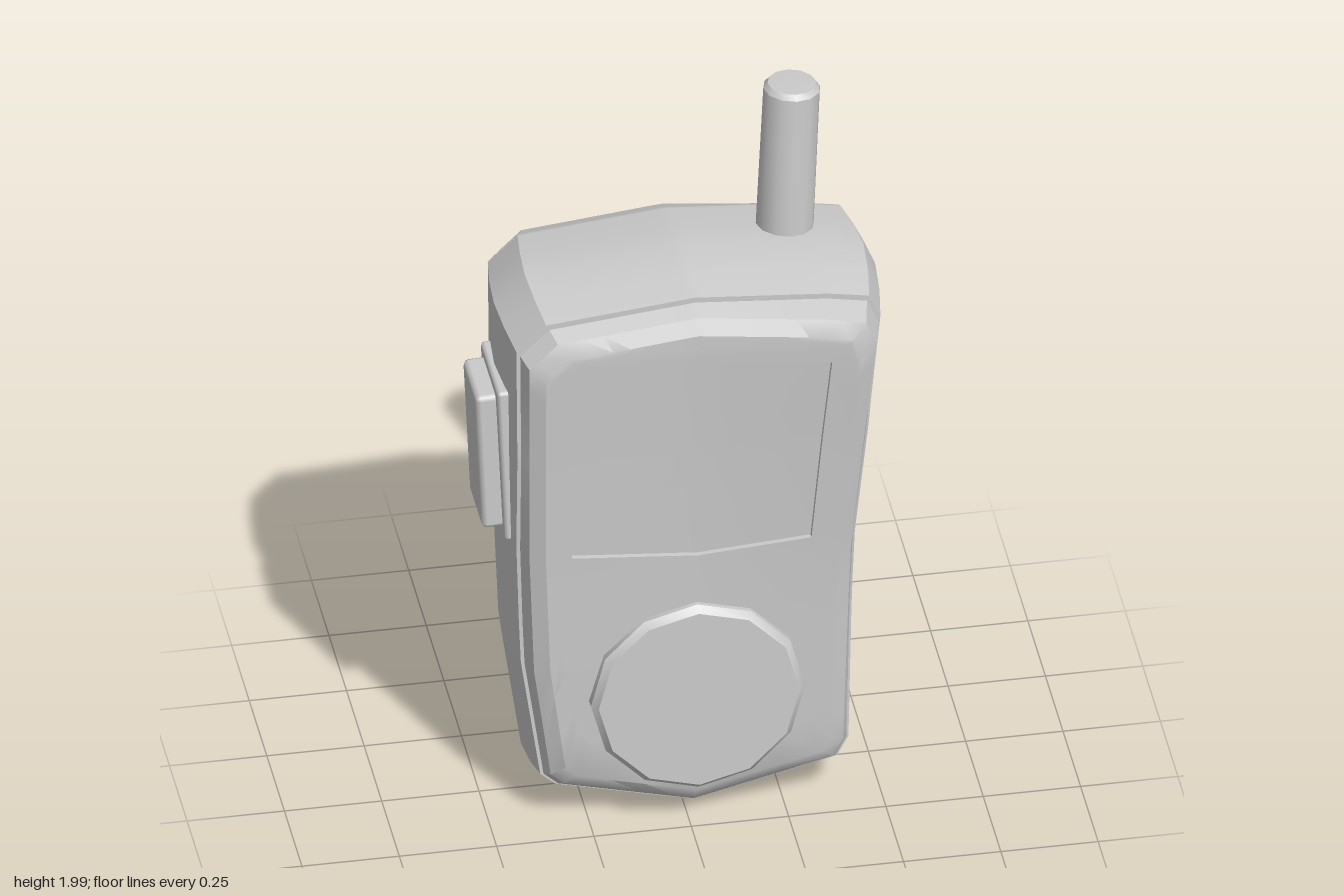
import * as THREE from 'three';
import { toCreasedNormals } from 'three/addons/utils/BufferGeometryUtils.js';
import { RoundedBoxGeometry } from 'three/addons/geometries/RoundedBoxGeometry.js';

const material = new THREE.MeshStandardMaterial({ color: 0xcccccc });
const CX = 0.02, CY = 0.8;          // centre of the casing
const SX = 0.02, SY = 1.13;         // centre of the screen

// Outlines, counter-clockwise as seen from the front
const casing = [[0.52, 1.495], [0.49, 1.56], [0.38, 1.58], [0.02, 1.61], [-0.38, 1.57], [-0.46, 1.495],
  [-0.455, 0.865], [-0.44, 0.485], [-0.39, 0.135], [-0.35, 0.1], [0.02, 0.01], [0.41, 0.1], [0.44, 0.155],
  [0.457, 0.8], [0.495, 1.235]];
const screen = [[0.355, 1.415], [0.02, 1.44], [-0.31, 1.41], [-0.285, 1.155], [-0.305, 0.86],
  [0.02, 0.83], [0.31, 0.855], [0.335, 1.18]];

// Piecewise-linear profile through [y, value] pairs
const profile = (points) => (y) => {
  if (y <= points[0][0]) return points[0][1];
  for (let i = 1; i < points.length; i++) {
    const [y0, v0] = points[i - 1], [y1, v1] = points[i];
    if (y <= y1) return v0 + (v1 - v0) * (y - y0) / (y1 - y0);
  }
  return points[points.length - 1][1];
};
const frontProfile = profile([[0.1, 0.212], [0.5, 0.228], [0.82, 0.236], [1.15, 0.25], [1.47, 0.267]]);
const backProfile = profile([[0.1, -0.245], [0.4, -0.252], [0.82, -0.243], [1.0, -0.262], [1.17, -0.288], [1.47, -0.295]]);
const frontSeam = profile([[0.05, 0.16], [0.6, 0.142], [0.85, 0.16], [1.15, 0.188], [1.5, 0.188]]);
const backSeam = profile([[0.05, -0.178], [0.8, -0.188], [1.1, -0.213], [1.5, -0.22]]);
const lean = (x, y) => Math.max(0, x / 0.4) * THREE.MathUtils.clamp((y - 0.6) / 0.8, 0, 1);
const frontZ = (x, y) => frontProfile(y) + 0.027 * lean(x, y);
const backZ = (x, y) => backProfile(y) + 0.018 * lean(x, y);

// Shared ray angles: every outline corner plus an even spread
const angleOf = ([x, y]) => Math.atan2(y - SY, x - SX);
const angles = [...casing, ...screen].map(angleOf);
for (let i = 0; i < 64; i++) {
  const a = -Math.PI + (i + 0.5) * Math.PI / 32;
  if (angles.every((b) => Math.abs(a - b) > 0.03)) angles.push(a);
}
angles.sort((a, b) => a - b);
const rayAngles = angles.filter((a, i) => i === 0 || a - angles[i - 1] > 1e-4);

// Where each ray from the screen centre meets an outline
const sample = (outline) => rayAngles.map((a) => {
  const c = Math.cos(a), s = Math.sin(a);
  let best = 0;
  outline.forEach(([x0, y0], i) => {
    const [x1, y1] = outline[(i + 1) % outline.length];
    const dx = x1 - x0, dy = y1 - y0, det = dx * s - dy * c;
    if (Math.abs(det) < 1e-9) return;
    const px = x0 - SX, py = y0 - SY;
    const t = (dx * py - dy * px) / det, u = (c * py - s * px) / det;
    if (t > 0 && u > -1e-6 && u < 1 + 1e-6) best = Math.max(best, t);
  });
  return [SX + best * c, SY + best * s];
});
const casingRing = sample(casing), screenRing = sample(screen);
const inset = (d) => casingRing.map(([x, y]) => [CX + (x - CX) * (1 - d / 0.48), CY + (y - CY) * (1 - d / 0.8)]);
const blend = (a, b, t) => a.map(([x, y], i) => [x + (b[i][0] - x) * t, y + (b[i][1] - y) * t]);
const point = (x, y) => rayAngles.map(() => [x, y]);
const place = (ring, z) => ring.map(([x, y]) => [x, y, z(x, y)]);

// Skin a list of rings ordered from front to back
function loft(rings, crease) {
  const n = rings[0].length, positions = rings.flat(2), index = [];
  for (let r = 0; r + 1 < rings.length; r++) {
    for (let j = 0; j < n; j++) {
      const k = (j + 1) % n, a = r * n + j, b = r * n + k, c = a + n, d = b + n;
      index.push(a, c, d, a, d, b);
    }
  }
  const geometry = new THREE.BufferGeometry();
  geometry.setAttribute('position', new THREE.Float32BufferAttribute(positions, 3));
  geometry.setIndex(index);
  return toCreasedNormals(geometry, crease);
}

function addMesh(group, name, geometry) {
  const mesh = new THREE.Mesh(geometry, material);
  mesh.name = name;
  group.add(mesh);
  return mesh;
}

export function createModel() {
  const group = new THREE.Group();
  group.name = 'handset';
  const sunk = (x, y) => frontZ(x, y) - 0.014;

  // Recessed screen
  const screenRings = [0, 0.25, 0.5, 0.75, 1].map((t) => place(blend(point(SX, SY), screenRing, t), sunk));
  addMesh(group, 'screen', loft(screenRings, 0.5));

  // Front shell: screen wall, face, rounded rim, side wall
  const faceEdge = inset(0.085);
  const front = [place(screenRing, sunk)];
  for (let i = 0; i <= 6; i++) front.push(place(blend(screenRing, faceEdge, i / 6), frontZ));
  front.push(
    place(inset(0.046), (x, y) => frontZ(x, y) - 0.022),
    place(inset(0.03), (x, y) => frontSeam(y) + 0.01),
    place(inset(0.045), (x, y) => frontSeam(y) + 0.01),
    place(inset(0.045), (x, y) => frontSeam(y) - 0.01));
  addMesh(group, 'frontShell', loft(front, 0.5));

  // Middle band, slightly bulged between the two seams
  const band = [
    place(inset(0.05), (x, y) => frontSeam(y)),
    place(inset(0.022), (x, y) => frontSeam(y)),
    place(inset(0.008), (x, y) => frontSeam(y) * 0.5),
    place(inset(0), () => -0.015),
    place(inset(0.008), (x, y) => backSeam(y) * 0.55),
    place(inset(0.022), (x, y) => backSeam(y)),
    place(inset(0.05), (x, y) => backSeam(y))];
  addMesh(group, 'middleBand', loft(band, 0.5));

  // Back shell
  const back = [
    place(inset(0.045), (x, y) => backSeam(y) + 0.01),
    place(inset(0.045), (x, y) => backSeam(y) - 0.008),
    place(inset(0.024), (x, y) => backSeam(y) - 0.008),
    place(inset(0.046), (x, y) => backZ(x, y) + 0.02)];
  for (let i = 0; i <= 8; i++) back.push(place(blend(faceEdge, point(CX, CY), i / 8), backZ));
  addMesh(group, 'backShell', loft(back, 0.5));

  // Twelve-sided round pad with a bevelled rim
  const padProfile = [[0.262, -0.05], [0.275, -0.04], [0.275, 0.022], [0.258, 0.04], [0, 0.04]]
    .map(([r, h]) => new THREE.Vector2(r, h));
  const pad = addMesh(group, 'roundPad', toCreasedNormals(new THREE.LatheGeometry(padProfile, 12), 0.6));
  pad.position.set(0.017, 0.41, 0.23);
  pad.rotation.x = Math.PI / 2 - 0.025;

  // Leaning antenna with a bevelled tip
  const base = new THREE.Vector3(0.302, 1.5, -0.113), tip = new THREE.Vector3(0.328, 1.992, -0.136);
  const axis = tip.clone().sub(base), length = axis.length();
  const antennaProfile = [[0.075, 0], [0.073, length - 0.014], [0.062, length], [0, length + 0.003]]
    .map(([r, h]) => new THREE.Vector2(r, h));
  const antenna = addMesh(group, 'antenna', toCreasedNormals(new THREE.LatheGeometry(antennaProfile, 12), 0.6));
  antenna.position.copy(base);
  antenna.quaternion.setFromUnitVectors(new THREE.Vector3(0, 1, 0), axis.normalize());

  // Side key on its raised plate
  const key = new THREE.Group();
  key.name = 'sideKey';
  key.position.set(-0.455, 1.08, 0);
  key.rotation.z = 0.045;
  addMesh(key, 'keyPlate', new RoundedBoxGeometry(0.05, 0.455, 0.245, 1, 0.01)).position.x = 0.015;
  addMesh(key, 'keyButton', new RoundedBoxGeometry(0.08, 0.405, 0.187, 1, 0.014)).position.x = -0.022;
  group.add(key);

  return group;
}
